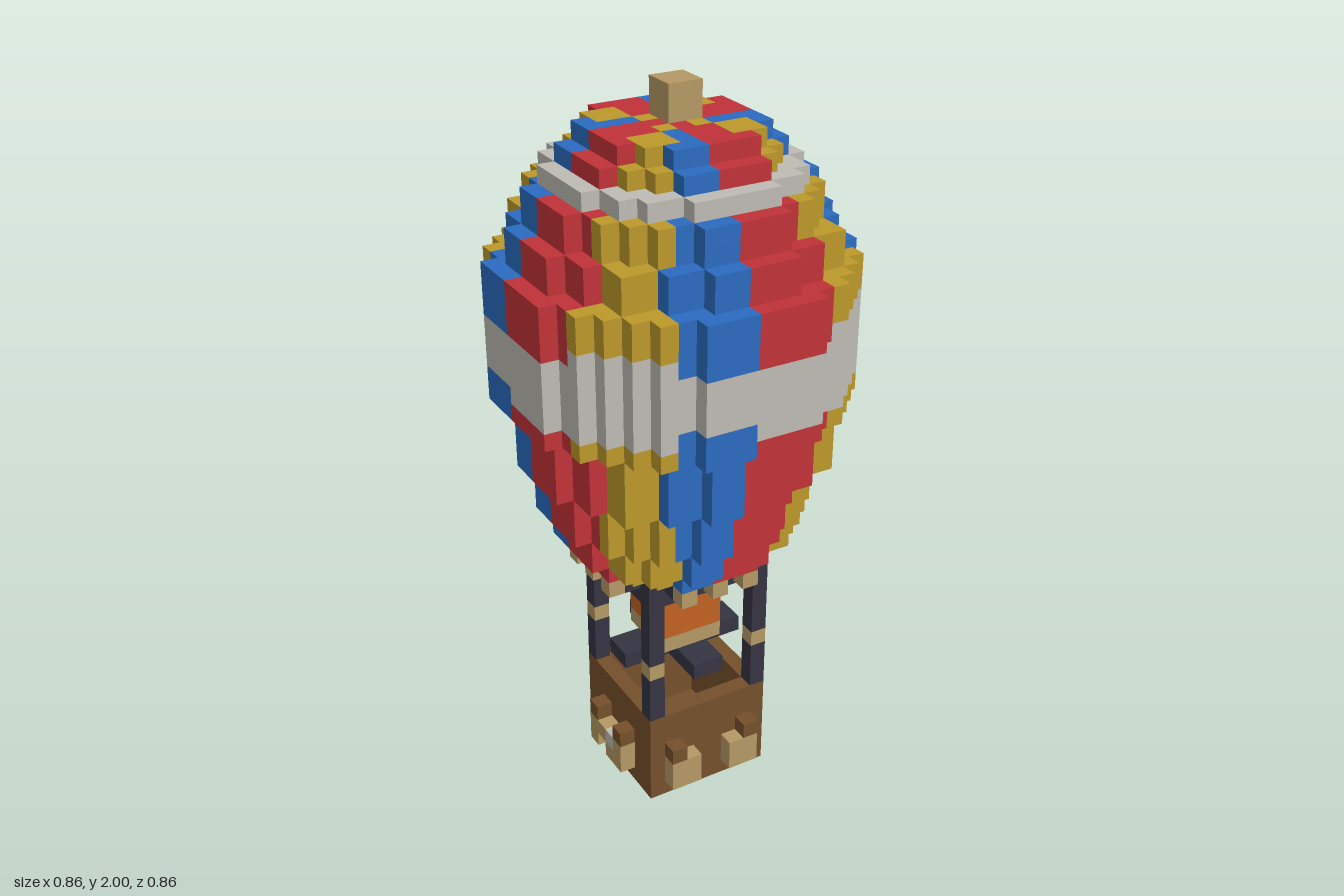
import * as THREE from 'three';
import { mergeGeometries } from 'three/addons/utils/BufferGeometryUtils.js';

const U = 2 / 44; // one block

const mat = (name, color) => new THREE.MeshStandardMaterial({ name, color });

export function createModel() {
  const M = {
    red: mat('red cloth', 0xc23339),
    blue: mat('blue cloth', 0x2b6cc1),
    gold: mat('gold cloth', 0xbd992b),
    white: mat('white cloth', 0xbfbcb4),
    tan: mat('tan canvas', 0xb59a64),
    brown: mat('brown wicker', 0x75512c),
    dark: mat('dark iron', 0x353442),
    orange: mat('orange burner', 0xc36222),
  };
  const model = new THREE.Group();
  model.name = 'hotAirBalloon';

  // Block box spanning grid cells [x0,x1) [y0,y1) [z0,z1), with x and z counted from -9.5 blocks
  const block = (x0, x1, y0, y1, z0, z1) =>
    new THREE.BoxGeometry((x1 - x0) * U, (y1 - y0) * U, (z1 - z0) * U).translate(
      ((x0 + x1) / 2 - 9.5) * U, ((y0 + y1) / 2) * U, ((z0 + z1) / 2 - 9.5) * U);
  const add = (parent, name, material, boxes) => {
    const mesh = new THREE.Mesh(mergeGeometries(boxes.map((b) => block(...b))), material);
    mesh.name = name;
    parent.add(mesh);
  };
  const group = (name) => {
    const g = new THREE.Group();
    g.name = name;
    model.add(g);
    return g;
  };

  // Envelope: stacked discs of blocks [first layer, end layer, radius]
  const discs = [[17, 18, 5.5], [18, 20, 6.5], [20, 23, 7.5], [23, 27, 8.5], [27, 35, 9.5],
    [35, 37, 8.5], [37, 39, 7.5], [39, 40, 6.5], [40, 41, 5.5], [41, 42, 4.5]];
  const band = { red: [28, 32], blue: [29, 32], gold: [28, 33] };
  const cloth = (dx, dz, y) => {
    const a = ((Math.atan2(dx, dz) * 180) / Math.PI + 360.001) % 90;
    const c = a < 30 ? 'red' : a < 60 ? 'gold' : 'blue';
    return y === 39 || (y >= band[c][0] && y < band[c][1]) ? 'white' : c;
  };
  const panels = { red: [], blue: [], gold: [], white: [] };
  for (const [y0, y1, r] of discs) {
    const inner = y0 === 41 ? -1 : (r - 2) ** 2;
    for (let y = y0; y < y1; y++) {
      for (let dz = -9; dz <= 9; dz++) {
        let run = null, start = 0;
        for (let dx = -9; dx <= 10; dx++) {
          const d = dx * dx + dz * dz;
          const c = d <= r * r && d > inner ? cloth(dx, dz, y) : null;
          if (c === run) continue;
          if (run) panels[run].push([start + 9, dx + 9, y, y + 1, dz + 9, dz + 10]);
          run = c;
          start = dx;
        }
      }
    }
  }
  const envelope = group('envelope');
  for (const c in panels) add(envelope, c + 'Panels', M[c], panels[c]);
  add(envelope, 'crownKnob', M.tan, [[9, 11, 42, 44, 8, 10]]);

  // Mouth of the envelope: dark ring with tan toggles around it
  const ring = [], toggles = [];
  for (let dx = -5; dx <= 5; dx++) {
    for (let dz = -5; dz <= 5; dz++) {
      const d = dx * dx + dz * dz;
      const cell = [dx + 9, dx + 10, 16, 17, dz + 9, dz + 10];
      if (d <= 20.25 && d > 9) ring.push(cell);
      if (Math.max(Math.abs(dx), Math.abs(dz)) === 5 && d < 30 && (dx + dz) % 2 !== 0) toggles.push(cell);
    }
  }
  const mouth = group('mouth');
  add(mouth, 'mouthRing', M.dark, ring);
  add(mouth, 'toggles', M.tan, toggles);

  // Square frame: posts, top rails, burner cross
  const frame = group('frame');
  const posts = [], wraps = [];
  for (const x of [6, 13]) {
    for (const z of [5, 12]) {
      posts.push([x, x + 1, 7, 10, z, z + 1], [x, x + 1, 11, 15, z, z + 1]);
      wraps.push([x, x + 1, 10, 11, z, z + 1]);
    }
  }
  add(frame, 'posts', M.dark, posts);
  add(frame, 'postWraps', M.tan, wraps);
  // Four walls of a square tube, one block thick
  const walls = (y0, y1) => [
    [6, 14, y0, y1, 5, 6], [6, 14, y0, y1, 12, 13],
    [6, 7, y0, y1, 6, 12], [13, 14, y0, y1, 6, 12]];
  add(frame, 'topRails', M.dark, walls(15, 16));
  add(frame, 'burnerCross', M.dark, [[6, 14, 9, 10, 8, 10], [9, 11, 9, 10, 5, 8], [9, 11, 9, 10, 10, 13]]);

  // Burner
  const burner = group('burner');
  add(burner, 'burnerBase', M.tan, [[8, 12, 10, 11, 7, 11]]);
  add(burner, 'burnerBody', M.orange, [[8, 12, 11, 15, 7, 11]]);

  // Basket
  const basket = group('basket');
  add(basket, 'basketWalls', M.brown, walls(1, 7));
  add(basket, 'basketFloor', M.brown, [[7, 13, 1, 2, 6, 12], [8, 12, 0, 1, 6, 12]]);
  add(basket, 'skids', M.dark, [[7, 8, 0, 1, 6, 12], [12, 13, 0, 1, 6, 12]]);

  // Pouches and flaps on the four sides
  add(basket, 'frontPouches', M.tan, [[7, 9, 2, 4, 13, 14], [11, 13, 2, 4, 13, 14]]);
  add(basket, 'frontFlaps', M.brown, [[7, 8, 4, 5, 13, 14], [12, 13, 4, 5, 13, 14]]);
  add(basket, 'backPouches', M.tan, [[7, 9, 2, 4, 4, 5], [11, 13, 2, 4, 4, 5], [9, 11, 2, 3, 4, 5]]);
  add(basket, 'backFlaps', M.brown, [[8, 9, 4, 5, 4, 5], [11, 12, 4, 5, 4, 5]]);
  add(basket, 'redPatch', M.red, [[9, 11, 3, 4, 4, 5]]);
  for (const [side, x] of [['left', 14], ['right', 5]]) {
    add(basket, side + 'Pouches', M.tan, [
      [x, x + 1, 2, 4, 10, 11], [x, x + 1, 2, 3, 9, 10], [x, x + 1, 3, 4, 8, 9], [x, x + 1, 2, 4, 7, 8]]);
    add(basket, side + 'Flaps', M.brown, [[x, x + 1, 4, 5, 10, 11], [x, x + 1, 4, 5, 7, 8]]);
    add(basket, side + 'WhitePatch', M.white, [[x, x + 1, 3, 4, 9, 10]]);
  }
  return model;
}
